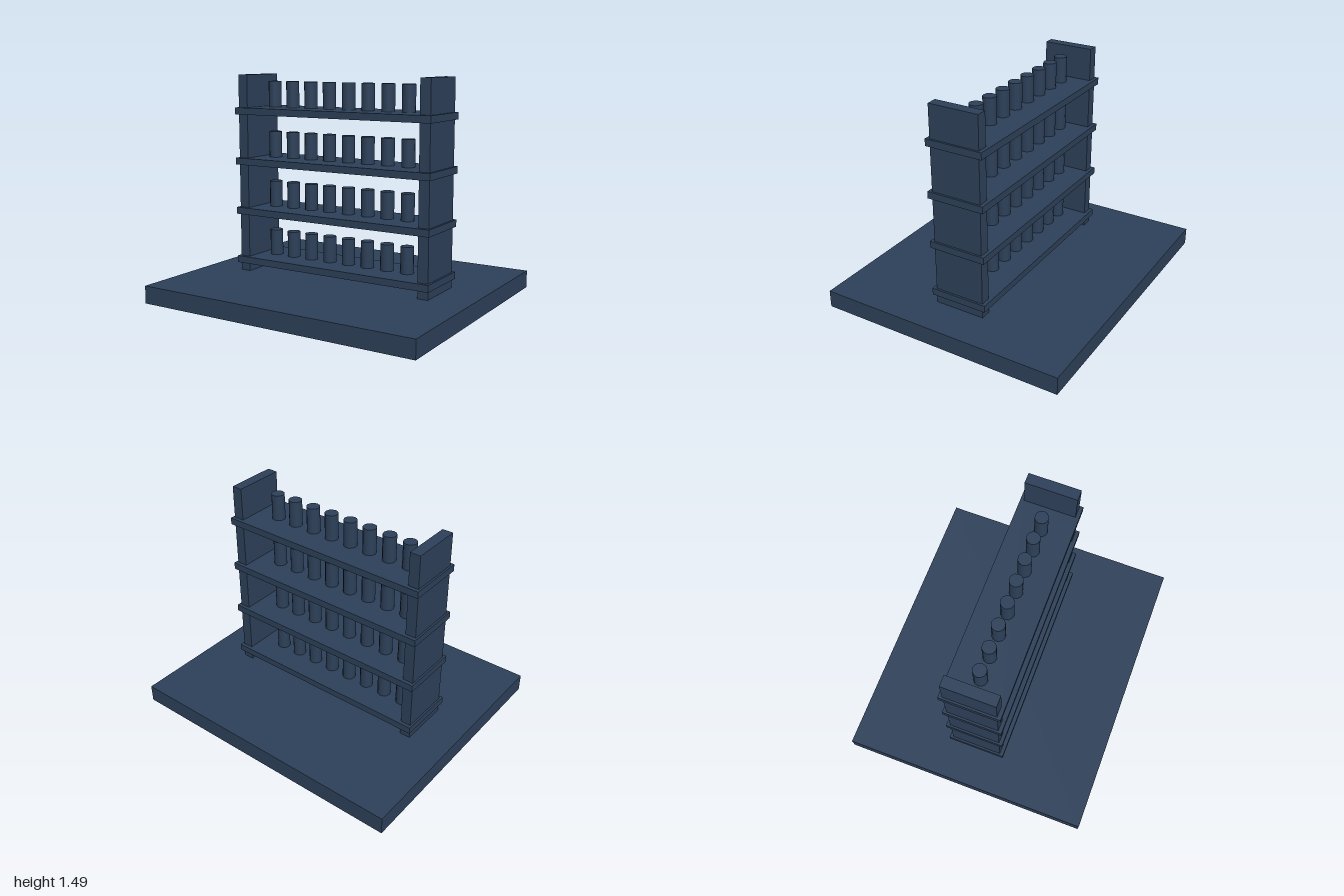
import * as THREE from 'three';

export function createModel() {
  const group = new THREE.Group();
  const slate = new THREE.MeshStandardMaterial({ color: 0x2d4059 });
  slate.name = 'slate blue';

  const add = (name, geometry, x, y, z = 0) => {
    const mesh = new THREE.Mesh(geometry, slate);
    mesh.name = name;
    mesh.position.set(x, y, z);
    group.add(mesh);
  };

  // Floor slab
  add('base', new THREE.BoxGeometry(2, 0.12, 1.714), 0, 0.06);

  // Upright side panels
  const panel = new THREE.BoxGeometry(0.073, 1.374, 0.348);
  for (const side of [-1, 1]) add('sidePanel', panel, side * 0.696, 0.805);

  // Four shelves, each with a row of eight jars
  const shelf = new THREE.BoxGeometry(1.492, 0.047, 0.398);
  const jar = new THREE.CylinderGeometry(0.0445, 0.0445, 0.18, 12);
  for (let row = 0; row < 4; row++) {
    const y = 0.2 + row * 0.348;
    add('shelf', shelf, 0, y);
    for (let i = 0; i < 8; i++) add('jar', jar, -0.55 + i * 0.1493, y + 0.1125);
  }

  return group;
}
